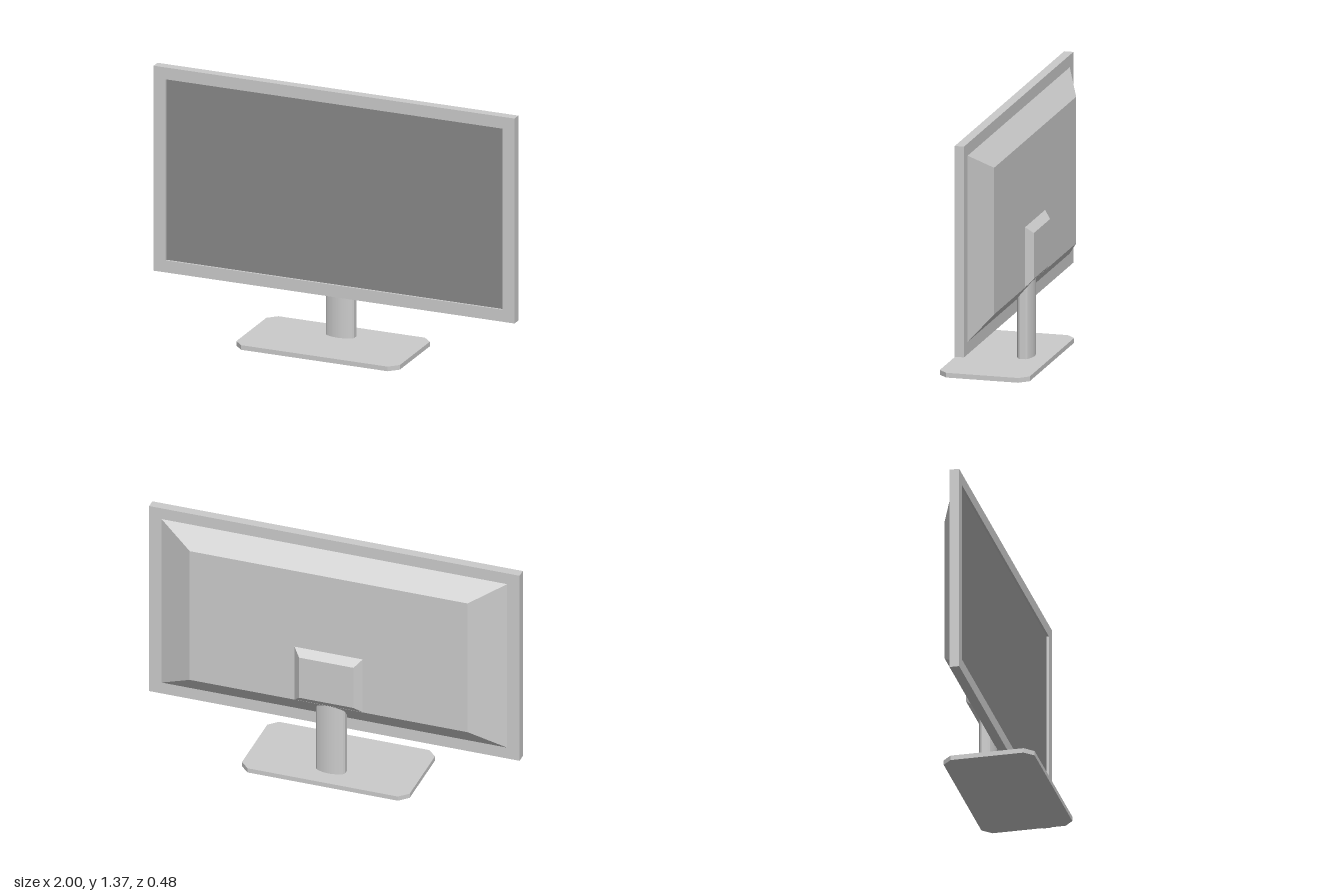
import * as THREE from 'three';

const grey = new THREE.MeshStandardMaterial({ color: 0xcccccc });
const dark = new THREE.MeshStandardMaterial({ color: 0x888888 });

function add(group, name, geometry, material = grey) {
  const mesh = new THREE.Mesh(geometry, material);
  mesh.name = name;
  group.add(mesh);
  return mesh;
}

function extrude(shape, depth) {
  return new THREE.ExtrudeGeometry(shape, { depth, bevelEnabled: false, curveSegments: 16 });
}

const rect = (w, y0, y1) => [[-w, y0], [w, y0], [w, y1], [-w, y1]].map(p => new THREE.Vector2(...p));

// Box whose back face is smaller than its front face; each face is { w, y0, y1, z }
function taperedBox(front, back) {
  const geometry = new THREE.BoxGeometry(2, 1, 1);
  const p = geometry.attributes.position;
  for (let i = 0; i < p.count; i++) {
    const f = p.getZ(i) > 0 ? front : back;
    p.setXYZ(i, p.getX(i) * f.w, p.getY(i) > 0 ? f.y1 : f.y0, f.z);
  }
  geometry.computeVertexNormals();
  return geometry;
}

export function createModel() {
  const model = new THREE.Group();
  model.name = 'monitor';

  // Bezel ring around the slightly recessed screen
  const bezel = new THREE.Shape(rect(1, 0.26, 1.367));
  bezel.holes.push(new THREE.Path(rect(0.933, 0.325, 1.303)));
  add(model, 'bezel', extrude(bezel, 0.049).translate(0, 0, -0.062));
  add(model, 'screen', new THREE.PlaneGeometry(1.866, 0.978), dark).position.set(0, 0.814, -0.024);

  // Tapered rear housing and the mounting block on it
  add(model, 'rearHousing', taperedBox(
    { w: 0.933, y0: 0.325, y1: 1.303, z: -0.062 },
    { w: 0.75, y0: 0.43, y1: 1.2, z: -0.149 }));
  add(model, 'mountBlock', taperedBox(
    { w: 0.185, y0: 0.43, y1: 0.748, z: -0.148 },
    { w: 0.147, y0: 0.47, y1: 0.71, z: -0.185 }));

  // Column with bowed front and back and narrow flat sides
  const section = new THREE.Shape();
  section.moveTo(0.078, -0.016);
  section.lineTo(0.078, 0.016);
  section.lineTo(0.07, 0.026);
  section.quadraticCurveTo(0, 0.061, -0.07, 0.026);
  section.lineTo(-0.078, 0.016);
  section.lineTo(-0.078, -0.016);
  section.lineTo(-0.07, -0.026);
  section.quadraticCurveTo(0, -0.061, 0.07, -0.026);
  section.closePath();
  const column = extrude(section, 0.41).rotateX(-Math.PI / 2);
  add(model, 'standColumn', column).position.set(0, 0.02, -0.1035);

  // Flat base plate with clipped corners
  const [w, d, c] = [0.453, 0.238, 0.047];
  const outline = [[w, c - d], [w, d - c], [w - c, d], [c - w, d], [-w, d - c], [-w, c - d], [c - w, -d], [w - c, -d]];
  const plate = new THREE.Shape(outline.map(p => new THREE.Vector2(...p)));
  add(model, 'standBase', extrude(plate, 0.025).rotateX(-Math.PI / 2));

  return model;
}
